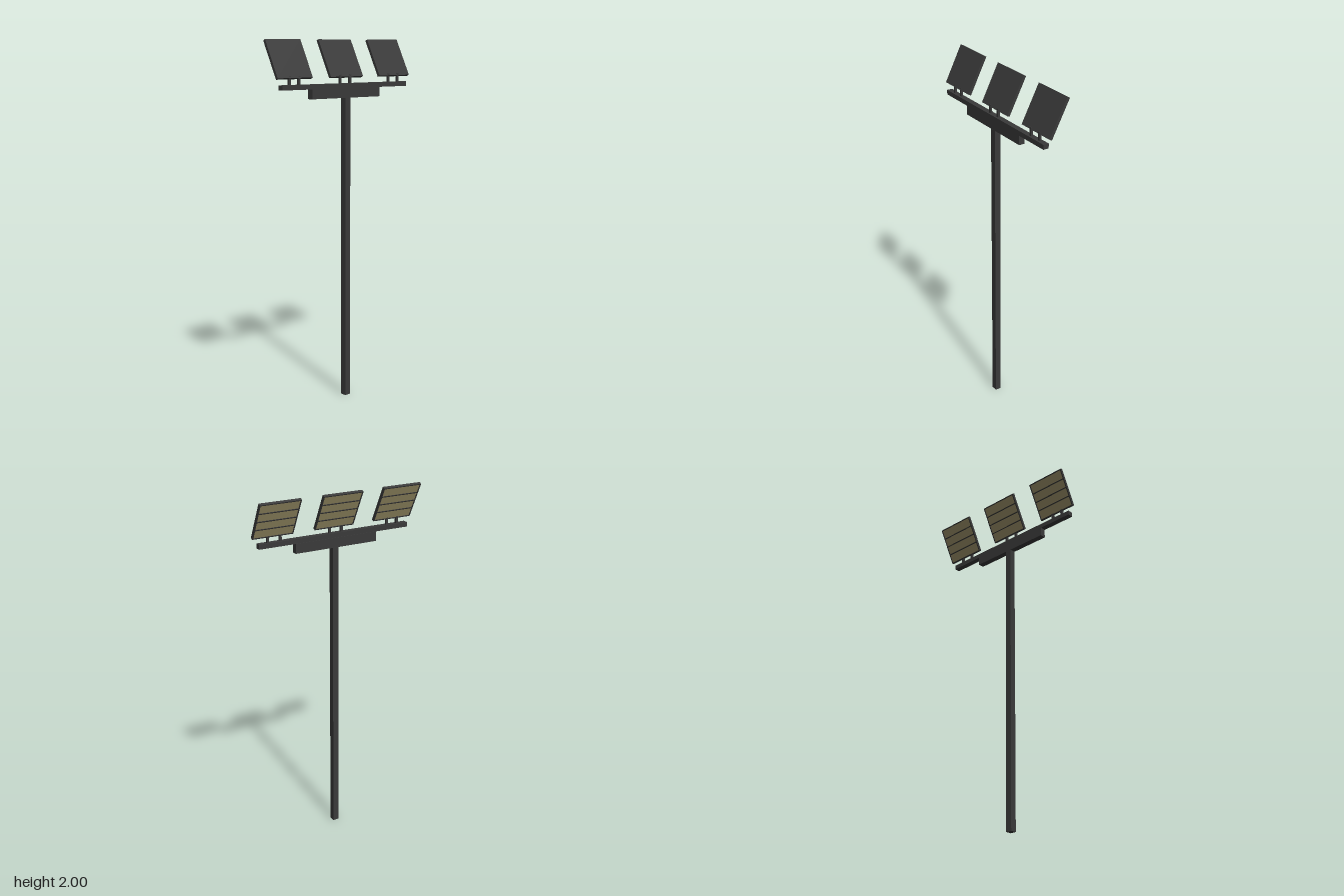
import * as THREE from 'three';

const dark = new THREE.MeshStandardMaterial({ color: 0x3a3a3a });
const lampMat = new THREE.MeshStandardMaterial({ color: 0xa89c70 });

// Box given by its size and centre
function box(parent, name, [w, h, d], [x, y, z], material = dark) {
  const mesh = new THREE.Mesh(new THREE.BoxGeometry(w, h, d), material);
  mesh.name = name;
  mesh.position.set(x, y, z);
  parent.add(mesh);
  return mesh;
}

// Tilted floodlight panel: dark back, framed lamp face on -x, horizontal ribs
function floodlight(z, shift) {
  const H = 0.222, W = 0.237, T = 0.016, rim = 0.006, rows = 4;
  const panel = new THREE.Group();
  panel.name = 'floodlight';
  panel.position.set(-0.005 + shift, 1.8975, z);
  panel.rotation.z = THREE.MathUtils.degToRad(27);

  box(panel, 'backPlate', [0.008, H, W], [T / 2 - 0.004, 0, 0]);
  for (const s of [-1, 1]) {
    box(panel, 'frameRail', [T, rim, W], [0, s * (H - rim) / 2, 0]);
    box(panel, 'frameSide', [T, H - 2 * rim, rim], [0, 0, s * (W - rim) / 2]);
  }
  const pitch = (H - 2 * rim) / rows;
  for (let i = 0; i < rows; i++) {
    const y = -H / 2 + rim + pitch * (i + 0.5);
    box(panel, 'lampStrip', [0.005, pitch, W - 2 * rim], [-0.0025, y, 0], lampMat);
    if (i > 0) box(panel, 'rib', [0.008, 0.006, W - 2 * rim], [-0.004, y - pitch / 2, 0]);
  }
  return panel;
}

export function createModel() {
  const model = new THREE.Group();
  model.name = 'floodlightMast';

  // Square mast and the two stacked cross beams
  box(model, 'pole', [0.035, 1.69, 0.036], [0.043, 0.845, 0]);
  box(model, 'lowerBeam', [0.034, 0.053, 0.496], [0.043, 1.7145, 0.007]);
  box(model, 'upperBeam', [0.032, 0.026, 0.91], [0.046, 1.753, 0.004]);

  // Three panels, each on a pair of short posts
  const lights = [
    { z: -0.367, shift: -0.001, posts: [-0.322, -0.395] },
    { z: -0.002, shift: 0, posts: [-0.027, 0.045] },
    { z: 0.364, shift: 0.002, posts: [0.334, 0.398] },
  ];
  for (const { z, shift, posts } of lights) {
    model.add(floodlight(z, shift));
    for (const p of posts) box(model, 'mountPost', [0.012, 0.05, 0.013], [0.045, 1.787, p]);
  }
  return model;
}
